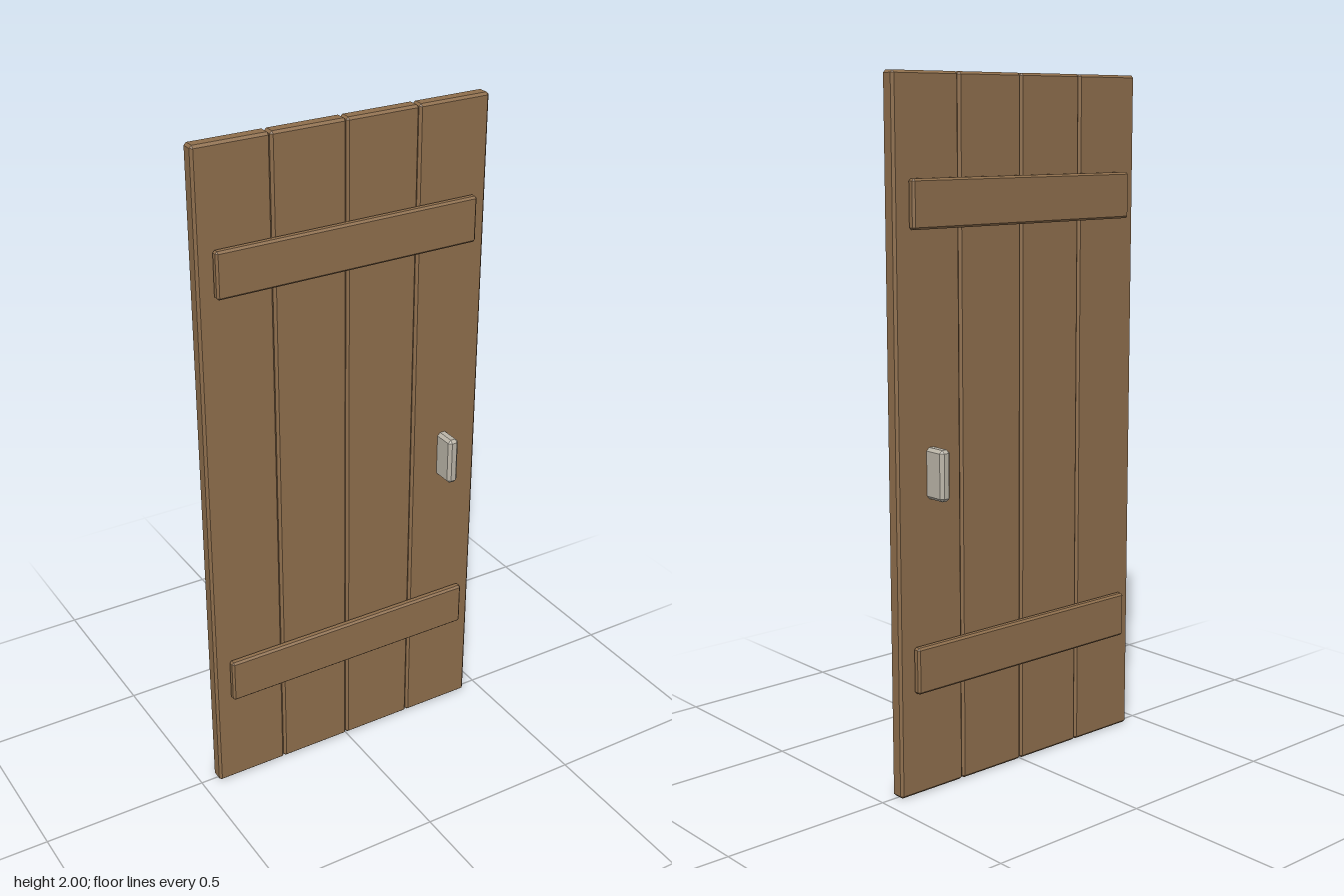
import * as THREE from 'three';
import { ConvexGeometry } from 'three/addons/geometries/ConvexGeometry.js';

// Box with every edge cut by a flat chamfer c
function chamferBox(w, h, d, c) {
  const points = [];
  for (const sx of [-1, 1]) for (const sy of [-1, 1]) for (const sz of [-1, 1]) {
    const x = w / 2, y = h / 2, z = d / 2;
    points.push(
      new THREE.Vector3(sx * x, sy * (y - c), sz * (z - c)),
      new THREE.Vector3(sx * (x - c), sy * y, sz * (z - c)),
      new THREE.Vector3(sx * (x - c), sy * (y - c), sz * z)
    );
  }
  return new ConvexGeometry(points);
}

export function createModel() {
  const door = new THREE.Group();
  door.name = 'plankDoor';
  const wood = new THREE.MeshStandardMaterial({ color: 0x8e6e4c });
  wood.name = 'brownWood';
  const metal = new THREE.MeshStandardMaterial({ color: 0xbbb5a8 });
  metal.name = 'paleMetal';

  const add = (name, geometry, material, x, y, z) => {
    const mesh = new THREE.Mesh(geometry, material);
    mesh.name = name;
    mesh.position.set(x, y, z);
    door.add(mesh);
  };

  // Four upright planks side by side
  const plankWidth = 0.224;
  const plank = chamferBox(plankWidth, 2, 0.044, 0.007);
  for (let i = 0; i < 4; i++) add('plank' + (i + 1), plank, wood, (i - 1.5) * plankWidth, 1, 0);

  // Cross battens, upper and lower, on both faces
  const batten = chamferBox(0.806, 0.134, 0.025, 0.006);
  for (const [label, y] of [['lower', 0.371], ['upper', 1.655]]) {
    add(label + 'FrontBatten', batten, wood, 0, y, 0.036);
    add(label + 'BackBatten', batten, wood, 0, y, -0.036);
  }

  // Handle passing through the door
  add('handle', chamferBox(0.034, 0.144, 0.174, 0.009), metal, 0.33, 0.922, 0);

  return door;
}
